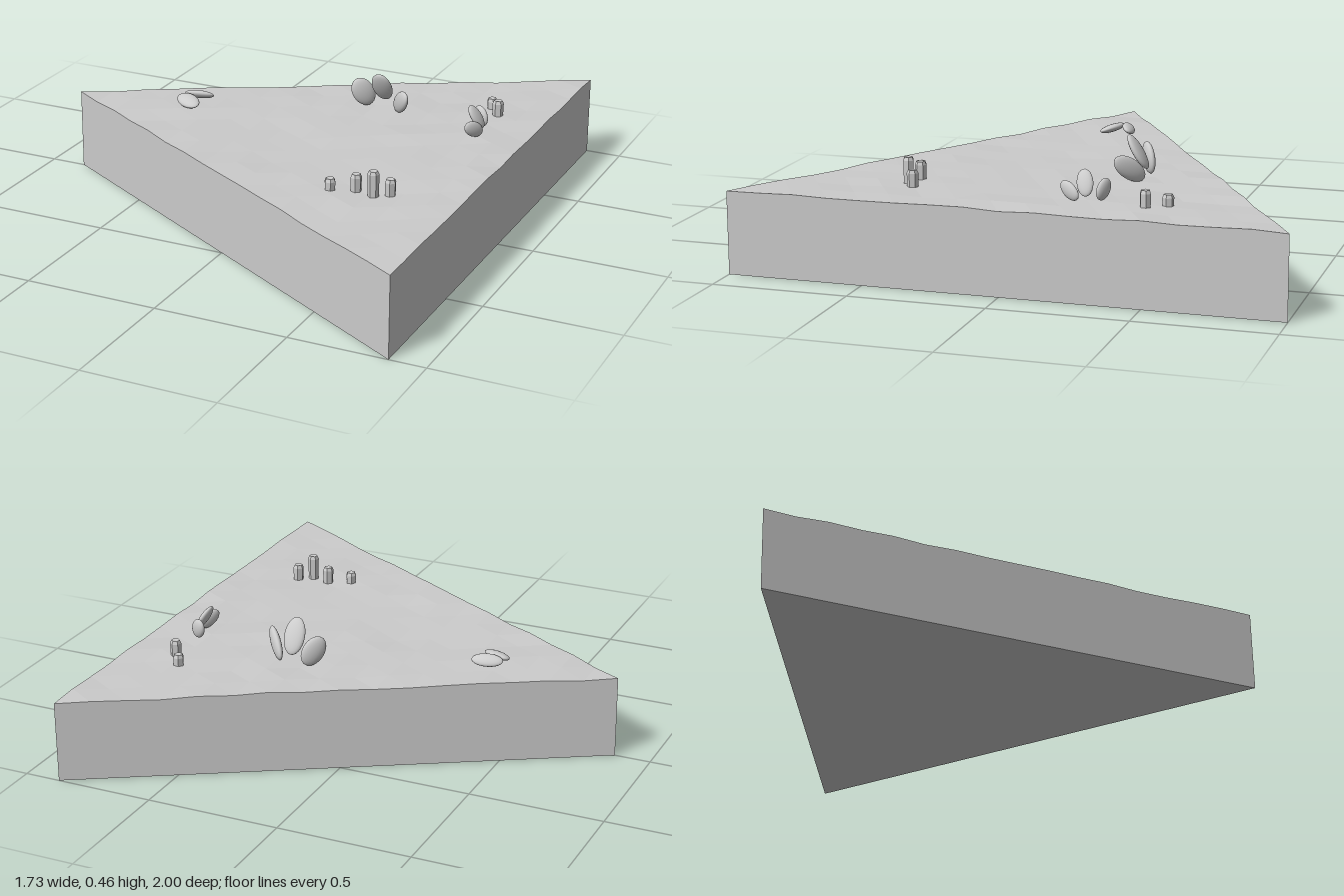
import * as THREE from 'three';

const N = 16;          // terrain divisions along each side
const W = 0.866;       // half width of the equilateral triangle
const ROCK = 0xcccccc;

// small repeatable bumps added to a gentle swell
function groundHeight(x, z) {
  const s = Math.sin(x * 127.1 + z * 311.7) * 43758.5453;
  const jitter = (s - Math.floor(s) - 0.5) * 0.007;
  return 0.304 + 0.004 * Math.sin(x * 5.5 - 1.8) * Math.cos(z * 4) + jitter;
}

// triangular slab: faceted uneven top, straight walls, flat underside
function makeTile(material) {
  const pos = [];
  const tri = (...pts) => pts.forEach((p) => pos.push(p.x, p.y, p.z));
  const top = (i, j) => {
    const x = -W + (2 * W * i) / N, z = (2 * j - i) / N;
    return new THREE.Vector3(x, groundHeight(x, z), z);
  };
  const floor = (p) => new THREE.Vector3(p.x, 0, p.z);

  for (let i = 0; i < N; i++) {
    for (let j = 0; j <= i; j++) {
      tri(top(i, j), top(i + 1, j + 1), top(i + 1, j));
      if (j < i) tri(top(i, j), top(i, j + 1), top(i + 1, j + 1));
    }
  }
  const rim = [];
  for (let k = 0; k < N; k++) rim.push(top(k, k));
  for (let k = 0; k < N; k++) rim.push(top(N, N - k));
  for (let k = 0; k < N; k++) rim.push(top(N - k, 0));
  rim.forEach((p, k) => {
    const q = rim[(k + 1) % rim.length];
    tri(floor(p), floor(q), q);
    tri(floor(p), q, p);
  });
  tri(floor(top(0, 0)), floor(top(N, 0)), floor(top(N, N)));

  const geo = new THREE.BufferGeometry();
  geo.setAttribute('position', new THREE.Float32BufferAttribute(pos, 3));
  geo.computeVertexNormals();
  const mesh = new THREE.Mesh(geo, material);
  mesh.name = 'groundTile';
  return mesh;
}

// flattened oval pad: long axis follows "along", flat side faces "facing"
function makePad(geo, material, [center, along, facing, size]) {
  const u = new THREE.Vector3(...along).normalize();
  const w = new THREE.Vector3().crossVectors(u, new THREE.Vector3(...facing)).normalize();
  const n = new THREE.Vector3().crossVectors(w, u);
  const mesh = new THREE.Mesh(geo, material);
  mesh.quaternion.setFromRotationMatrix(new THREE.Matrix4().makeBasis(w, u, n));
  mesh.scale.set(...size);
  mesh.position.set(...center);
  mesh.name = 'cactusPad';
  return mesh;
}

// six-sided column with a bevelled cap
function makeColumn(material, [x, z, topY]) {
  const r = 0.021, base = 0.28;
  const profile = [[r * 0.9, base], [r, topY - 0.012], [r * 0.75, topY], [0, topY - 0.003]]
    .map(([a, b]) => new THREE.Vector2(a, b));
  const mesh = new THREE.Mesh(new THREE.LatheGeometry(profile, 6), material);
  mesh.position.set(x, 0, z);
  mesh.rotation.y = x * 9;
  mesh.name = 'cactusColumn';
  return mesh;
}

export function createModel() {
  const model = new THREE.Group();
  model.name = 'desertTile';
  const flat = new THREE.MeshStandardMaterial({ color: ROCK, flatShading: true });
  const smooth = new THREE.MeshStandardMaterial({ color: ROCK });

  model.add(makeTile(flat));

  // pad clusters: center, long axis, facing, half sizes (width, length, thickness)
  const clusters = {
    largePadCactus: [
      [[0.178, 0.362, -0.342], [-0.4, 0.85, 0.3], [0.6, 0, 0.8], [0.042, 0.06, 0.018]],
      [[0.262, 0.4, -0.325], [0.04, 0.85, 0.5], [0, -0.5, 0.85], [0.041, 0.07, 0.017]],
      [[0.343, 0.355, -0.316], [0.55, 0.55, 0.58], [-0.74, 0, 0.68], [0.037, 0.072, 0.017]],
    ],
    smallPadCactus: [
      [[0.667, 0.355, -0.314], [-0.45, 0.8, -0.25], [-0.4, 0, 0.9], [0.032, 0.04, 0.015]],
      [[0.673, 0.375, -0.25], [-0.5, 0.85, 0.25], [0.85, 0.5, 0.1], [0.03, 0.05, 0.014]],
      [[0.683, 0.346, -0.198], [-0.42, 0.45, 0.75], [0.85, 0, 0.45], [0.028, 0.046, 0.014]],
    ],
    fallenPads: [
      [[-0.415, 0.331, -0.037], [0.85, -0.08, 0.48], [0, 1, 0.4], [0.033, 0.06, 0.015]],
      [[-0.403, 0.336, -0.105], [0.97, 0, -0.18], [0, 0.8, -0.55], [0.027, 0.058, 0.014]],
    ],
  };
  const padGeo = new THREE.SphereGeometry(1, 20, 14);
  for (const [name, pads] of Object.entries(clusters)) {
    const group = new THREE.Group();
    group.name = name;
    pads.forEach((p) => group.add(makePad(padGeo, smooth, p)));
    model.add(group);
  }

  // column clusters: x, z, top height
  const columns = {
    frontColumns: [[0.402, 0.45, 0.346], [0.487, 0.418, 0.365], [0.56, 0.436, 0.396], [0.61, 0.402, 0.362]],
    backColumns: [[0.63, -0.532, 0.345], [0.678, -0.465, 0.366]],
  };
  for (const [name, list] of Object.entries(columns)) {
    const group = new THREE.Group();
    group.name = name;
    list.forEach((c) => group.add(makeColumn(flat, c)));
    model.add(group);
  }
  return model;
}
